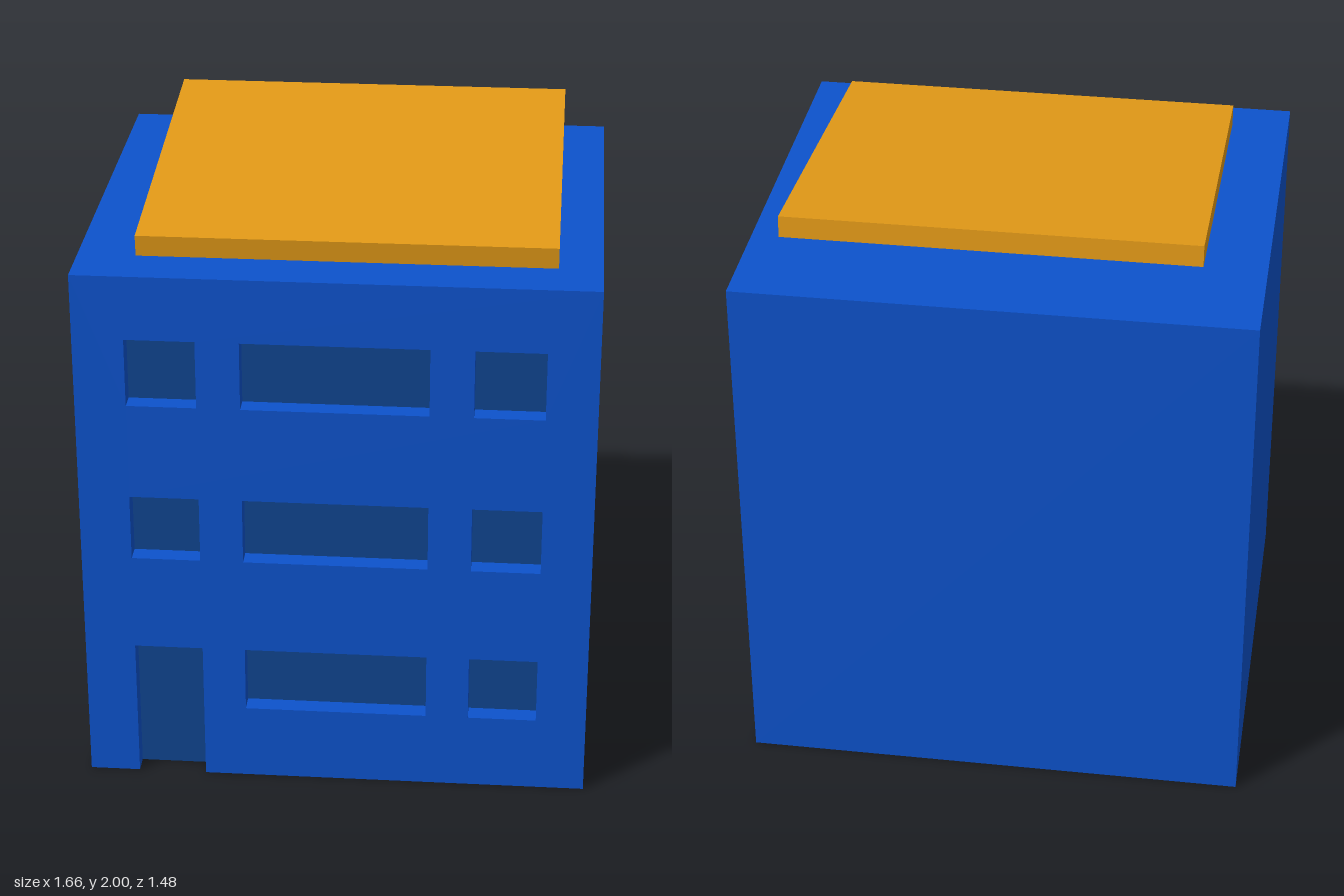
import * as THREE from 'three';

const W = 0.83, H = 1.81, D = 0.74, RECESS = 0.065;

export function createModel() {
  const model = new THREE.Group();
  const blue = new THREE.MeshStandardMaterial({ color: 0x0d52cc });
  const glass = new THREE.MeshStandardMaterial({ color: 0x0f448f });
  const orange = new THREE.MeshStandardMaterial({ color: 0xe39a17 });

  const add = (name, geometry, material, x, y, z) => {
    const mesh = new THREE.Mesh(geometry, material);
    mesh.name = name;
    mesh.position.set(x, y, z);
    model.add(mesh);
    return mesh;
  };

  // Openings as [x0, x1] columns and [y0, y1] floors; the door takes the lower left one
  const columns = [[-0.665, -0.44], [-0.3, 0.3], [0.44, 0.665]];
  const floors = [[0.26, 0.485], [0.815, 1.04], [1.365, 1.595]];
  const [doorX0, doorX1] = columns[0];
  const doorTop = floors[0][1];

  const pane = (name, x0, x1, y0, y1) =>
    add(name, new THREE.PlaneGeometry(x1 - x0, y1 - y0), glass,
      (x0 + x1) / 2, (y0 + y1) / 2, D - RECESS + 0.002);

  // Facade outline, notched at the ground for the door
  const outline = [[-W, 0], [doorX0, 0], [doorX0, doorTop], [doorX1, doorTop],
    [doorX1, 0], [W, 0], [W, H], [-W, H]];
  const facade = new THREE.Shape(outline.map(([x, y]) => new THREE.Vector2(x, y)));
  pane('door', doorX0, doorX1, 0, doorTop);

  // Window holes and the panes set back in them
  floors.forEach(([y0, y1], floor) => columns.forEach(([x0, x1], column) => {
    if (floor === 0 && column === 0) return;
    facade.holes.push(new THREE.Path([[x0, y0], [x0, y1], [x1, y1], [x1, y0]]
      .map(([x, y]) => new THREE.Vector2(x, y))));
    pane('window', x0, x1, y0, y1);
  }));

  add('facade', new THREE.ExtrudeGeometry(facade, { depth: RECESS, bevelEnabled: false }),
    blue, 0, 0, D - RECESS);

  // Solid building behind the facade
  add('building', new THREE.BoxGeometry(2 * W, H, 2 * D - RECESS), blue, 0, H / 2, -RECESS / 2);

  // Tilted roof slab, higher at the back
  const roof = add('roof', new THREE.BoxGeometry(1.33, 0.07, 1.185), orange, 0.025, 1.91, 0.005);
  roof.rotation.x = 0.093;

  return model;
}
